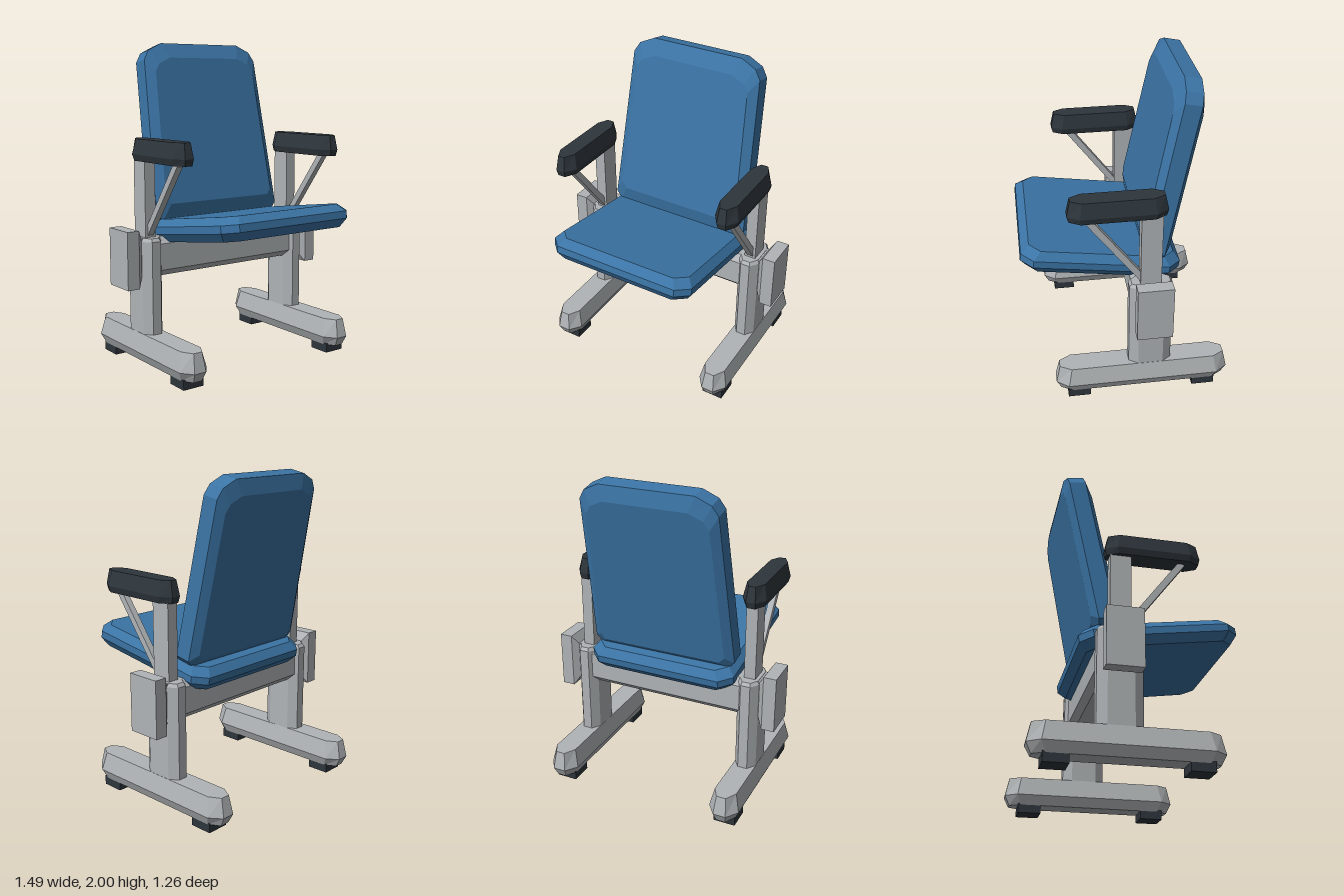
import * as THREE from 'three';

// Flat-faced loft: an outline of [x, v] points (z = -v, counter-clockwise from above)
// stacked in layers of [y, scaleX, insetAtMaxV, insetAtMinV].
function loft(outline, layers) {
  const n = outline.length;
  const vs = outline.map((p) => p[1]);
  const v0 = Math.min(...vs), v1 = Math.max(...vs);
  const rings = layers.map(([y, sx, hi, lo]) => outline.map(([x, v]) => {
    const t = (v - v0) / (v1 - v0);
    return [x * sx, y, -(v0 + lo + t * (v1 - hi - v0 - lo))];
  }));
  const pos = [];
  const tri = (a, b, c) => pos.push(...a, ...b, ...c);
  for (let r = 0; r < rings.length - 1; r++) {
    for (let i = 0; i < n; i++) {
      const j = (i + 1) % n, a = rings[r], b = rings[r + 1];
      tri(a[i], a[j], b[j]);
      tri(a[i], b[j], b[i]);
    }
  }
  const bottom = rings[0], top = rings[rings.length - 1];
  for (let i = 1; i < n - 1; i++) {
    tri(top[0], top[i], top[i + 1]);
    tri(bottom[0], bottom[i + 1], bottom[i]);
  }
  const g = new THREE.BufferGeometry();
  g.setAttribute('position', new THREE.Float32BufferAttribute(pos, 3));
  g.computeVertexNormals();
  return g;
}

// Rectangle with cut corners, half sizes hx and hv
function octagon(hx, hv, cx, cv) {
  return [
    [hx - cx, -hv], [hx, -hv + cv], [hx, hv - cv], [hx - cx, hv],
    [cx - hx, hv], [-hx, hv - cv], [-hx, cv - hv], [cx - hx, -hv],
  ];
}

export function createModel() {
  const model = new THREE.Group();
  model.name = 'chair';

  const material = (name, color) => {
    const m = new THREE.MeshStandardMaterial({ color });
    m.name = name;
    return m;
  };
  const blue = material('blue upholstery', 0x3b74a5);
  const grey = material('grey metal', 0xb0b4b6);
  const dark = material('dark rubber', 0x2e363c);

  const add = (name, geometry, mat, x, y, z) => {
    const mesh = new THREE.Mesh(geometry, mat);
    mesh.name = name;
    mesh.position.set(x, y, z);
    model.add(mesh);
    return mesh;
  };

  // Seat cushion, raised at the front
  const seat = loft(octagon(0.485, 0.4875, 0.075, 0.075), [
    [-0.071, 0.925, 0.04, 0.04], [-0.02, 1, 0, 0], [0.025, 1, 0, 0], [0.071, 0.915, 0.045, 0.045],
  ]);
  add('seat', seat, blue, 0, 0.881, 0.148).rotation.x = -0.15;

  // Backrest, tapering upwards and leaning back
  const half = [[0.435, 0.905], [0.475, 0.95], [0.434, 1.92], [0.397, 1.98], [0.3, 2.026]];
  const outline = [...half, ...half.map(([x, v]) => [-x, v]).reverse()];
  const back = loft(outline, [
    [-0.076, 0.89, 0.09, 0.05], [-0.043, 1, 0, 0], [0.06, 1, 0, 0], [0.097, 0.88, 0.1, 0.1],
  ]);
  add('backrest', back, blue, 0, 0, 0).rotation.x = 1.373;

  // Crossbar under the seat
  const bar = loft(octagon(0.122, 0.11, 0.04, 0.04), [[-0.52, 1, 0, 0], [0.52, 1, 0, 0]]);
  add('crossbar', bar, grey, 0, 0.697, -0.13).rotation.z = Math.PI / 2;

  // Shared shapes for the two sides
  const post = loft(octagon(0.068, 0.132, 0.038, 0.055), [
    [0.2, 1, 0, 0], [0.8, 1, 0, 0], [0.82, 0.85, 0.015, 0.015],
  ]);
  const runner = loft(octagon(0.095, 0.545, 0.055, 0.075), [
    [0.05, 0.72, 0.03, 0.03], [0.11, 1, 0, 0], [0.225, 0.73, 0.025, 0.025],
  ]);
  const armrest = loft(octagon(0.074, 0.29, 0.045, 0.07), [
    [1.285, 0.85, 0.01, 0.01], [1.325, 1, 0, 0], [1.418, 0.74, 0.02, 0.02],
  ]);
  const housing = loft([[0.178, -0.108], [0.178, 0.108], [-0.178, 0.108], [-0.178, -0.108]], [
    [0.61, 0.68, 0.035, 0.035], [0.63, 0.68, 0.035, 0.035], [0.665, 1, 0, 0], [0.745, 1, 0, 0],
  ]);
  const upright = new THREE.BoxGeometry(0.072, 0.5, 0.126);
  const strut = new THREE.BoxGeometry(0.04, 0.57, 0.04);
  const pad = new THREE.BoxGeometry(0.137, 0.06, 0.142);

  for (const [side, s] of [['left', 1], ['right', -1]]) {
    const x = s * 0.56;
    add(side + 'Runner', runner, grey, x, 0, -0.085);
    add(side + 'Post', post, grey, x, 0, -0.13);
    add(side + 'Upright', upright, grey, x, 1.05, -0.127);
    add(side + 'Strut', strut, grey, x, 1.06, 0.08).rotation.x = 0.64;
    add(side + 'Armrest', armrest, dark, s * 0.557, 0, 0.07);
    add(side + 'Housing', housing, grey, 0, 0.697, -0.132).rotation.z = -s * Math.PI / 2;
    add(side + 'FrontPad', pad, dark, x, 0.03, 0.318);
    add(side + 'RearPad', pad, dark, x, 0.03, -0.475);
  }
  return model;
}
